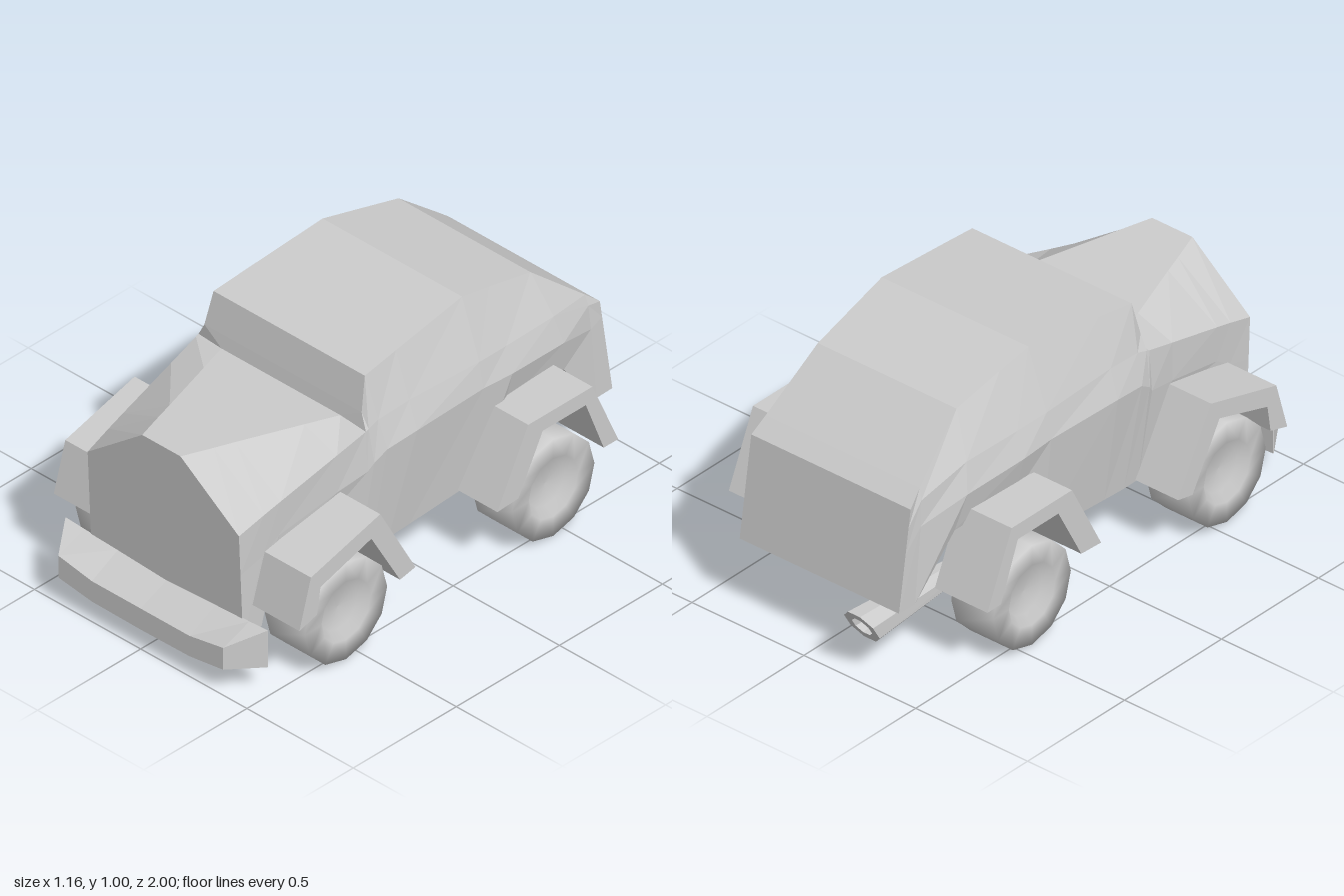
import * as THREE from 'three';

const paint = new THREE.MeshStandardMaterial({ color: 0xcccccc, flatShading: true });
const smooth = new THREE.MeshStandardMaterial({ color: 0xcccccc });

// Skins a list of rings (each an array of [x, y, z]) and caps both ends.
function loft(rings) {
  const pos = [];
  const quad = (a, b, c, d) => pos.push(...a, ...b, ...c, ...a, ...c, ...d);
  const n = rings[0].length;
  for (let i = 0; i < rings.length - 1; i++) {
    for (let j = 0; j < n; j++) {
      const k = (j + 1) % n;
      quad(rings[i][j], rings[i + 1][j], rings[i + 1][k], rings[i][k]);
    }
  }
  const first = rings[0], last = rings[rings.length - 1];
  for (let k = 0; k < n / 2 - 1; k++) {
    quad(first[k], first[k + 1], first[n - 2 - k], first[n - 1 - k]);
    quad(last[n - 1 - k], last[n - 2 - k], last[k + 1], last[k]);
  }
  const geo = new THREE.BufferGeometry();
  geo.setAttribute('position', new THREE.Float32BufferAttribute(pos, 3));
  geo.computeVertexNormals();
  return geo;
}

function add(group, name, geo, material = paint) {
  const mesh = new THREE.Mesh(geo, material);
  mesh.name = name;
  group.add(mesh);
  return mesh;
}

// Body stations, front to back:
// top z, bottom z, then x and y of roof edge, shoulder, belt and sill
const stations = [
  [0.90, 0.87, 0.09, 0.79, 0.356, 0.585, 0.356, 0.42, 0.356, 0.14],
  [0.78, 0.78, 0.13, 0.784, 0.365, 0.62, 0.36, 0.45, 0.356, 0.16],
  [0.70, 0.71, 0.155, 0.78, 0.371, 0.642, 0.365, 0.5, 0.36, 0.43],
  [0.45, 0.45, 0.237, 0.767, 0.39, 0.713, 0.39, 0.56, 0.37, 0.47],
  [0.32, 0.33, 0.28, 0.76, 0.40, 0.75, 0.41, 0.59, 0.38, 0.24],
  [0.31, 0.28, 0.37, 0.81, 0.40, 0.755, 0.42, 0.62, 0.385, 0.243],
  [0.28, 0.20, 0.356, 0.94, 0.40, 0.77, 0.43, 0.655, 0.39, 0.247],
  [0.12, 0.10, 0.347, 0.96, 0.405, 0.78, 0.44, 0.67, 0.39, 0.252],
  [-0.22, -0.22, 0.328, 1.0, 0.41, 0.77, 0.43, 0.67, 0.39, 0.27],
  [-0.36, -0.36, 0.32, 0.967, 0.40, 0.76, 0.43, 0.66, 0.39, 0.5],
  [-0.57, -0.66, 0.31, 0.915, 0.385, 0.75, 0.41, 0.64, 0.38, 0.5],
  [-0.80, -0.84, 0.344, 0.722, 0.356, 0.68, 0.36, 0.58, 0.358, 0.28],
  [-0.86, -0.92, 0.356, 0.67, 0.356, 0.6, 0.356, 0.5, 0.356, 0.28],
];

function bodyRing([zTop, zBottom, ...p]) {
  const topY = p[1], bottomY = p[7], half = [];
  for (let i = 6; i >= 0; i -= 2) {
    const t = (p[i + 1] - bottomY) / (topY - bottomY);
    half.push([p[i], p[i + 1], zBottom + (zTop - zBottom) * t]);
  }
  return [...half, ...half.map(([x, y, z]) => [-x, y, z]).reverse()];
}

// Fender outlines as z, y points
const frontArch = [[0.826, 0.27], [0.77, 0.463], [0.434, 0.555], [0.263, 0.25],
  [0.338, 0.235], [0.477, 0.475], [0.724, 0.4], [0.74, 0.295]];
const rearArch = [[-0.134, 0.275], [-0.284, 0.56], [-0.595, 0.56], [-0.72, 0.28],
  [-0.65, 0.28], [-0.563, 0.5], [-0.354, 0.5], [-0.236, 0.28]];

function fender(points, side) {
  const shape = new THREE.Shape(points.map(([z, y]) => new THREE.Vector2(z, y)));
  const geo = new THREE.ExtrudeGeometry(shape, { depth: 0.235, bevelEnabled: false });
  geo.rotateY(-Math.PI / 2);
  return geo.translate(side > 0 ? 0.578 : -0.343, 0, 0);
}

// Twelve-sided wheel with a dished hub on both faces
function wheel() {
  const half = [[0, 0.055], [0.09, 0.06], [0.12, 0.094], [0.2, 0.094]];
  const profile = [...half.map(([r, h]) => [r, -h]), ...half.reverse()];
  const geo = new THREE.LatheGeometry(profile.map(([r, h]) => new THREE.Vector2(r, h)), 12);
  return geo.rotateZ(-Math.PI / 2);
}

// Bumper half stations: x, front z, back bottom y, back top y, front top y, front bottom y
function bumper() {
  const half = [
    [0.475, 0.876, 0.095, 0.245, 0.245, 0.095],
    [0.388, 1.0, 0.09, 0.24, 0.195, 0.105],
    [0.23, 1.0, 0.08, 0.233, 0.167, 0.083],
    [0, 1.0, 0.07, 0.22, 0.167, 0.08],
  ];
  const mirrored = half.slice(0, 3).reverse().map(([x, ...r]) => [-x, ...r]);
  return loft([...half, ...mirrored].map(([x, zf, bb, bt, ft, fb]) =>
    [[x, bb, 0.872], [x, bt, 0.872], [x, ft, zf], [x, fb, zf]]));
}

// Flared tailpipe with a slanted, hollow mouth
function exhaust() {
  const rings = [[-0.4, 0.036, 0], [-0.96, 0.07, 0.6], [-0.96, 0.04, 0.6], [-0.84, 0.028, 0]];
  return loft(rings.map(([z, r, slant]) => Array.from({ length: 8 }, (_, i) => {
    const a = (i + 0.5) * Math.PI / 4;
    const y = Math.sin(a) * r * 1.08;
    return [-0.225 + Math.cos(a) * r, 0.192 + y, z - y * slant];
  })));
}

export function createModel() {
  const car = new THREE.Group();
  car.name = 'car';

  add(car, 'body', loft(stations.map(bodyRing)));
  add(car, 'frontBumper', bumper());
  add(car, 'exhaustPipe', exhaust());

  // Fenders and wheels on both sides
  for (const side of [1, -1]) {
    const label = side > 0 ? 'Left' : 'Right';
    add(car, `front${label}Fender`, fender(frontArch, side));
    add(car, `rear${label}Fender`, fender(rearArch, side));
    for (const [end, z] of [['front', 0.56], ['rear', -0.445]]) {
      add(car, `${end}${label}Wheel`, wheel(), smooth).position.set(side * 0.445, 0.2, z);
    }
  }
  return car;
}
